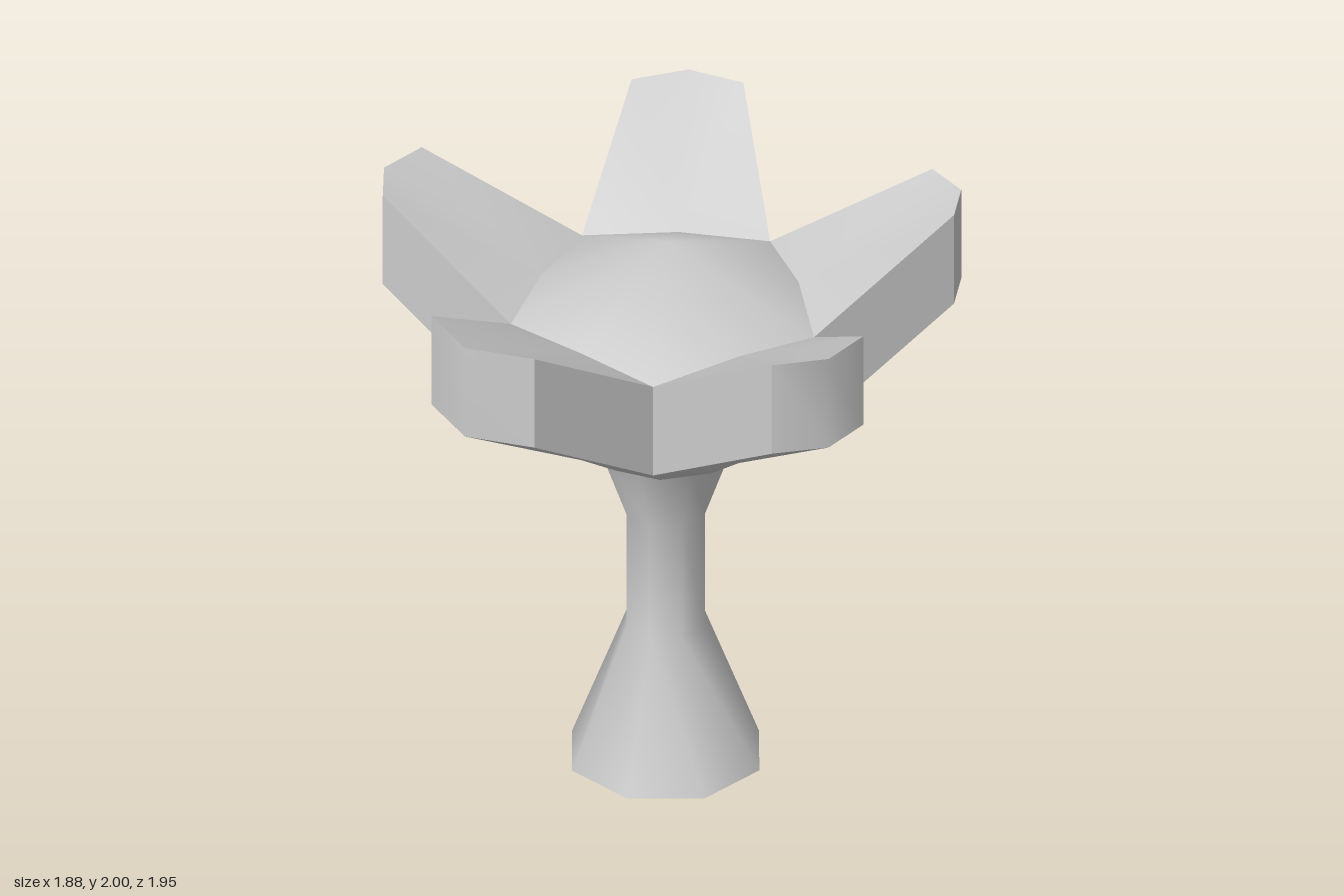
import * as THREE from 'three';
import { toCreasedNormals } from 'three/addons/utils/BufferGeometryUtils.js';

const CENTRE = { x: 0.075, z: 0 };
const material = new THREE.MeshStandardMaterial({ color: 0xcccccc });

// Notches between petals, as [x, z], going from +x towards +z
const notches = [[0.6, 0], [0.23, 0.5], [-0.36, 0.3], [-0.36, -0.32], [0.23, -0.52]];
// Middle of each petal's inner edge
const mids = [[0.43, 0.24], [-0.06, 0.42], [-0.375, -0.005], [-0.06, -0.43], [0.43, -0.28]];
// Three blunt tip corners of each petal
const tips = [
  [[0.94, 0.4], [0.89, 0.58], [0.73, 0.69]],
  [[-0.01, 0.95], [-0.25, 0.97], [-0.43, 0.82]],
  [[-0.875, 0.16], [-0.94, -0.01], [-0.875, -0.18]],
  [[-0.4, -0.85], [-0.25, -0.98], [-0.05, -0.97]],
  [[0.74, -0.69], [0.88, -0.6], [0.92, -0.44]],
];

// A corner with its top and bottom heights
const corner = ([x, z], top, bottom) => ({ t: [x, top, z], b: [x, bottom, z] });
const notch = (i) => corner(notches[i % 5], 1.7, 1.36);
const mid = (i) => corner(mids[i], 1.72, 1.31);

function meshFrom(name, triangles, crease = 0.85) {
  const geometry = new THREE.BufferGeometry();
  geometry.setAttribute('position', new THREE.Float32BufferAttribute(triangles.flat(2), 3));
  const mesh = new THREE.Mesh(toCreasedNormals(geometry, crease), material);
  mesh.name = name;
  return mesh;
}

// Thick petal: fanned top and underside, upright walls
function petal(i) {
  const m = mid(i);
  const rim = [notch(i), ...tips[i].map((p) => corner(p, 2, 1.66)), notch(i + 1)];
  const tris = [];
  for (let k = 0; k < rim.length - 1; k++) {
    const p = rim[k], q = rim[k + 1];
    tris.push([m.t, q.t, p.t], [m.b, p.b, q.b]);
    tris.push([p.b, p.t, q.t], [p.b, q.t, q.b]);
  }
  return meshFrom('petal', tris);
}

export function createModel() {
  const model = new THREE.Group();

  // Eight-sided stem with flared foot and top
  const profile = [[0, 0], [0.335, 0], [0.14, 0.51], [0.14, 0.94], [0.225, 1.18], [0, 1.18]];
  const lathe = new THREE.LatheGeometry(profile.map(([r, y]) => new THREE.Vector2(r, y)), 8);
  const stem = new THREE.Mesh(toCreasedNormals(lathe, 0.85), material);
  stem.name = 'stem';
  stem.position.set(CENTRE.x, 0, 0.013);
  model.add(stem);

  // Domed centre and the bowl below it share one ten-point rim
  const rim = [];
  for (let i = 0; i < 5; i++) rim.push(notch(i), mid(i));
  const apex = [CENTRE.x, 1.95, CENTRE.z];
  const base = [CENTRE.x, 1.19, CENTRE.z];
  const foot = rim.map(({ b }) => {
    const a = Math.atan2(b[2] - CENTRE.z, b[0] - CENTRE.x);
    return [CENTRE.x + 0.265 * Math.cos(a), 1.19, CENTRE.z + 0.265 * Math.sin(a)];
  });
  const dome = [], bowl = [];
  rim.forEach((p, i) => {
    const j = (i + 1) % rim.length, q = rim[j];
    dome.push([apex, q.t, p.t]);
    bowl.push([foot[i], p.b, q.b], [foot[i], q.b, foot[j]], [base, foot[i], foot[j]]);
  });
  model.add(meshFrom('flowerCentre', dome, 1.5), meshFrom('bowl', bowl));

  // Five petals
  const petals = new THREE.Group();
  petals.name = 'petals';
  for (let i = 0; i < 5; i++) petals.add(petal(i));
  model.add(petals);

  return model;
}
